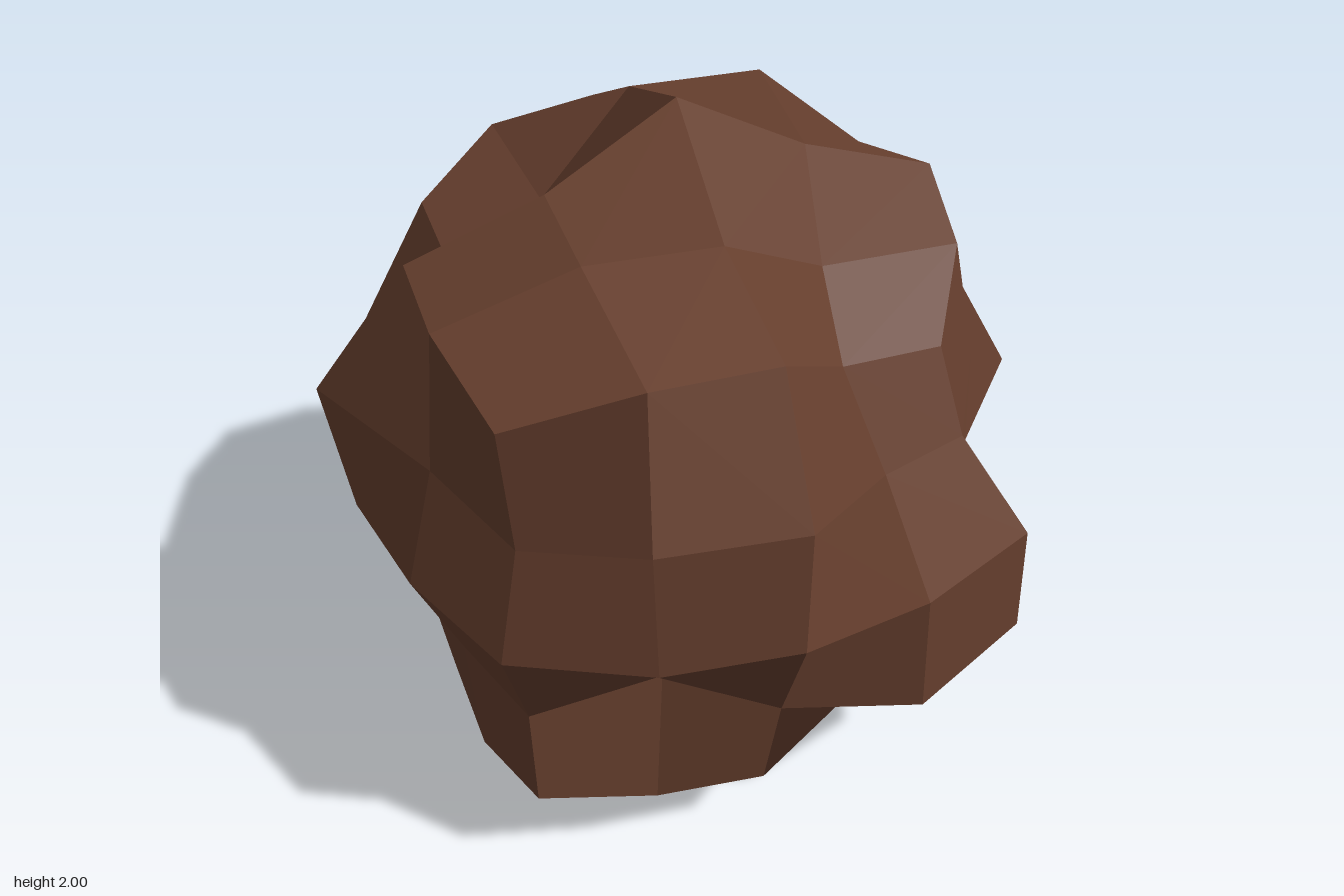
import * as THREE from 'three';

// Distance of each rock vertex from its centre, on a 4 x 4 x 4 cube lattice.
// Layers run bottom to top, rows back to front, columns -x to +x (0 = inside).
const RADII = [
  [[1.0, 0.96, 1.0, 0.96, 1.04], [0.86, 0.84, 0.975, 1.04, 0.91], [0.99, 0.78, 0.905, 1.04, 0.99],
    [1.03, 0.99, 0.83, 0.82, 0.985], [1.07, 1.0, 0.983, 0.89, 1.045]],
  [[1.0, 0.72, 0.845, 1.0, 1.06], [0.85, 0, 0, 0, 0.96], [0.82, 0, 0, 0, 0.927],
    [0.84, 0, 0, 0, 0.86], [0.93, 0.73, 0.85, 1.01, 1.075]],
  [[0.997, 0.78, 1.03, 1.045, 1.005], [0.91, 0, 0, 0, 1.04], [0.91, 0, 0, 0, 1.04],
    [0.91, 0, 0, 0, 0.81], [0.985, 0.935, 0.91, 0.93, 1.01]],
  [[0.97, 1.02, 0.97, 0.75, 0.86], [0.92, 0, 0, 0, 0.96], [1.04, 0, 0, 0, 0.91],
    [0.88, 0, 0, 0, 0.85], [0.925, 0.99, 0.985, 0.8, 0.845]],
  [[0.96, 1.02, 1.01, 0.935, 0.94], [0.83, 0.75, 0.97, 1.03, 0.97], [1.0, 0.9, 1.035, 0.915, 1.018],
    [1.06, 0.985, 0.87, 0.77, 0.97], [1.13, 1.12, 1.004, 0.78, 0.884]],
];
const CENTRE = new THREE.Vector3(-0.04, 0.965, 0.06);

// Direction of a lattice point: odd points lie midway between their even neighbours
function direction(c) {
  const ends = c.map((v) => (v % 2 ? [v - 1, v + 1] : [v]));
  const sum = new THREE.Vector3();
  for (const x of ends[0]) for (const y of ends[1]) for (const z of ends[2]) {
    sum.add(new THREE.Vector3(x, y, z).normalize());
  }
  return sum.normalize();
}

function rockPoint(c) {
  const [x, y, z] = c;
  return direction(c).multiplyScalar(RADII[y + 2][z + 2][x + 2]).add(CENTRE);
}

// Six cube faces, each a 4 x 4 grid of quads pushed out to the rock surface
function rockGeometry() {
  const positions = [];
  const normals = [];
  for (let axis = 0; axis < 3; axis++) {
    // Which way the quads of this face are split into triangles
    const corners = axis === 0 ? [0, 1, 2, 0, 2, 3] : [0, 1, 3, 1, 2, 3];
    for (const side of [-2, 2]) {
      const at = (u, v) => {
        const c = [0, 0, 0];
        c[axis] = side;
        c[(axis + 1) % 3] = u;
        c[(axis + 2) % 3] = v;
        return rockPoint(c);
      };
      for (let u = -2; u < 2; u++) {
        for (let v = -2; v < 2; v++) {
          const q = [at(u, v), at(u + 1, v), at(u + 1, v + 1), at(u, v + 1)];
          if (side < 0) q.reverse();
          // One flat normal for the whole quad
          const n = q[2].clone().sub(q[0]).cross(q[3].clone().sub(q[1])).normalize();
          for (const i of corners) {
            positions.push(...q[i].toArray());
            normals.push(...n.toArray());
          }
        }
      }
    }
  }
  const geometry = new THREE.BufferGeometry();
  geometry.setAttribute('position', new THREE.Float32BufferAttribute(positions, 3));
  geometry.setAttribute('normal', new THREE.Float32BufferAttribute(normals, 3));
  return geometry;
}

export function createModel() {
  const group = new THREE.Group();
  group.name = 'boulder';
  const material = new THREE.MeshStandardMaterial({ color: 0x653e2d });
  const rock = new THREE.Mesh(rockGeometry(), material);
  rock.name = 'rock';
  group.add(rock);
  return group;
}
